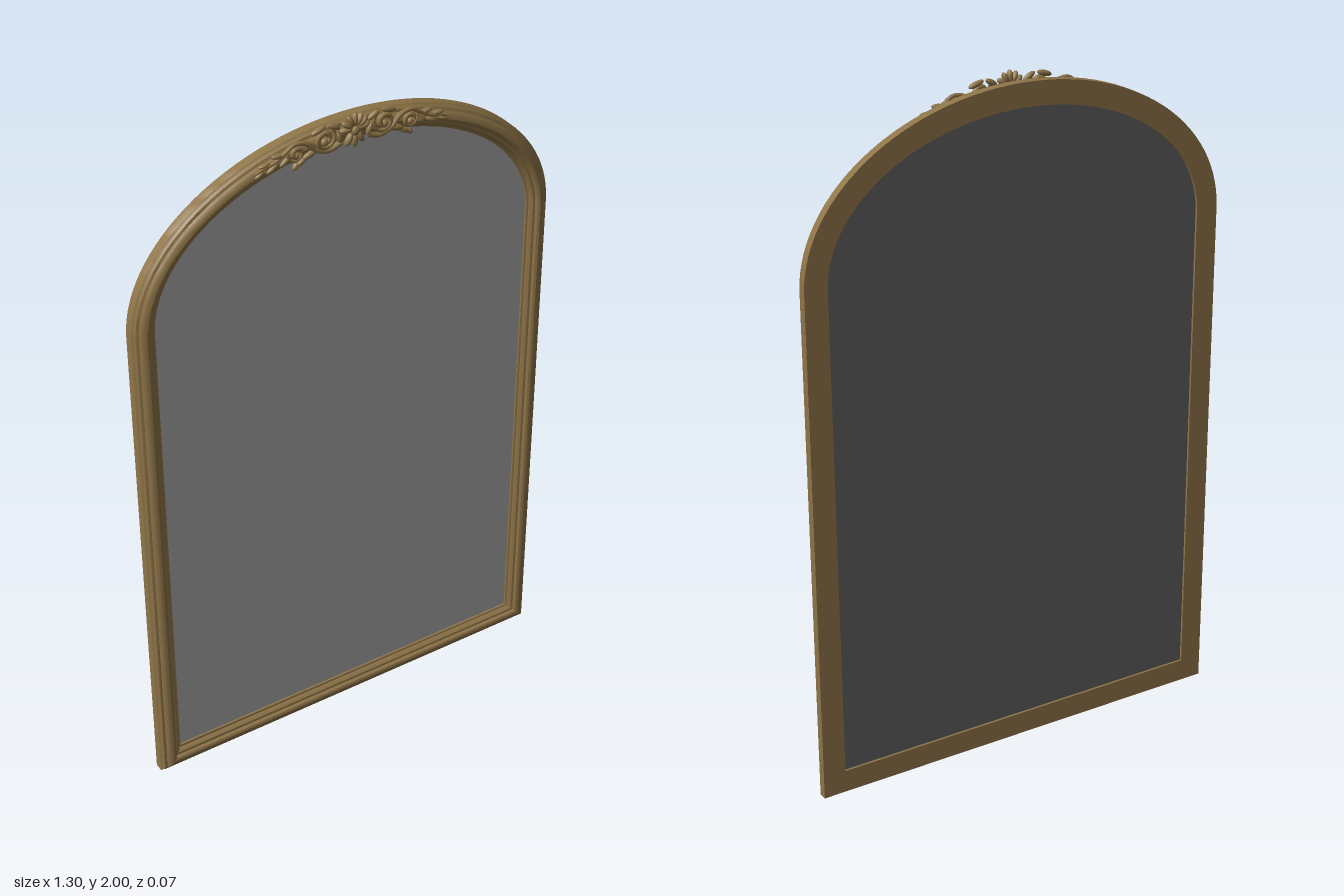
import * as THREE from 'three';
import { toCreasedNormals } from 'three/addons/utils/BufferGeometryUtils.js';

const HALF = 0.65, SPRING = 1.52, RISE = 0.458, ARC = 56;

const bronze = new THREE.MeshStandardMaterial({ color: 0x8f7548 });
bronze.name = 'aged bronze';
const glass = new THREE.MeshStandardMaterial({ color: 0xa0a0a0 });
glass.name = 'mirror grey';
const dark = new THREE.MeshStandardMaterial({ color: 0x606060 });
dark.name = 'backing grey';

function part(geometry, material, name) {
  const m = new THREE.Mesh(geometry, material);
  m.name = name;
  return m;
}

// Arched outline inset by w, clockwise from the bottom left corner
function outline(w) {
  const pts = [new THREE.Vector2(-HALF + w, w)];
  for (let i = 0; i <= ARC; i++) {
    const a = Math.PI * (1 - i / ARC);
    pts.push(new THREE.Vector2((HALF - w) * Math.cos(a), SPRING + (RISE - w) * Math.sin(a)));
  }
  pts.push(new THREE.Vector2(HALF - w, w));
  return pts;
}

// Moulding profile [inset, z] swept round the outline, mitred at the bottom
function frameGeometry() {
  const profile = [
    [0, -0.035], [0, -0.009], [0.005, -0.005], [0.008, 0.001], [0.016, 0.003],
    [0.02, 0.009], [0.028, 0.014], [0.036, 0.015], [0.043, 0.012], [0.047, 0.005],
    [0.054, 0.004], [0.059, 0], [0.062, -0.006], [0.068, -0.008], [0.068, -0.035],
  ];
  const rings = profile.map(([w]) => outline(w));
  const n = rings[0].length, m = profile.length;
  const pos = [], idx = [];
  for (let i = 0; i < n; i++)
    for (let j = 0; j < m; j++) pos.push(rings[j][i].x, rings[j][i].y, profile[j][1]);
  for (let i = 0; i < n; i++)
    for (let j = 0; j < m; j++) {
      const i2 = (i + 1) % n, j2 = (j + 1) % m;
      const a = i * m + j, b = i * m + j2, c = i2 * m + j2, d = i2 * m + j;
      idx.push(a, b, c, a, c, d);
    }
  const g = new THREE.BufferGeometry();
  g.setAttribute('position', new THREE.Float32BufferAttribute(pos, 3));
  g.setIndex(idx);
  return toCreasedNormals(g, 0.5);
}

// Tube whose radius runs from r0 to r1
function taperedTube(points, r0, r1, steps = 32) {
  const curve = new THREE.CatmullRomCurve3(points);
  const g = new THREE.TubeGeometry(curve, steps, 1, 8);
  const p = g.attributes.position, v = new THREE.Vector3();
  for (let i = 0; i < p.count; i++) {
    const t = Math.floor(i / 9) / steps, c = curve.getPointAt(t);
    v.fromBufferAttribute(p, i).sub(c).multiplyScalar(r0 + (r1 - r0) * t).add(c);
    p.setXYZ(i, v.x, v.y, v.z);
  }
  return g;
}

// Flattened oval bead or leaf lobe
function lobe(x, y, z, rx, ry, rz, turn, name) {
  const m = part(new THREE.SphereGeometry(1, 14, 10), bronze, name);
  m.position.set(x, y, z);
  m.scale.set(rx, ry, rz);
  m.rotation.z = turn;
  return m;
}

// Spiral scroll starting at angle a0 and winding inwards, then a bead at the eye
function scroll(s, x, y, z, radius, a0, turns, thick) {
  const g = new THREE.Group(), pts = [];
  g.name = 'scroll';
  for (let i = 0; i <= 18; i++) {
    const t = i / 18, a = a0 + t * turns * Math.PI * 2, r = radius * (1 - 0.75 * t);
    pts.push(new THREE.Vector3(s * (x + r * Math.cos(a)), y + r * Math.sin(a), z + 0.004 * t));
  }
  g.add(part(taperedTube(pts, thick * 0.6, thick), bronze, 'scrollStem'));
  const end = pts[pts.length - 1];
  g.add(lobe(end.x, end.y, end.z, thick * 1.3, thick * 1.3, thick, 0, 'scrollEye'));
  return g;
}

function crest() {
  const g = new THREE.Group();
  g.name = 'crestOrnament';
  // Central shell: a fan of petals above, drops below, and a boss
  for (let i = -3; i <= 3; i++) {
    const a = i * 0.5, r = 0.026;
    g.add(lobe(Math.sin(a) * r, 1.955 + Math.cos(a) * r, 0.022, 0.0085, 0.019, 0.011, -a, 'shellPetal'));
  }
  for (const i of [-1, 0, 1])
    g.add(lobe(i * 0.017, 1.922 + Math.abs(i) * 0.006, 0.021, 0.009, 0.02, 0.01, i * 0.5, 'shellDrop'));
  g.add(lobe(0, 1.95, 0.024, 0.014, 0.014, 0.011, 0, 'shellBoss'));

  for (const s of [1, -1]) {
    const side = new THREE.Group();
    side.name = s > 0 ? 'leftFoliage' : 'rightFoliage';
    // Large and small scrolls
    side.add(scroll(s, 0.088, 1.95, 0.019, 0.032, 2.4, 1.4, 0.0085));
    side.add(scroll(s, 0.172, 1.931, 0.016, 0.024, 0.3, -1.3, 0.007));
    // Stem joining the scrolls and trailing along the arch
    const stem = [[0.04, 1.925], [0.075, 1.913], [0.115, 1.925], [0.14, 1.95], [0.175, 1.957],
      [0.205, 1.94], [0.235, 1.922], [0.265, 1.914], [0.29, 1.905]];
    side.add(part(taperedTube(stem.map(([x, y], i) =>
      new THREE.Vector3(s * x, y, 0.019 - 0.0006 * i)), 0.0085, 0.004, 48), bronze, 'trailingStem'));
    // Leaves: x, y, z, length, width, tilt
    const leaves = [
      [0.058, 1.975, 0.019, 0.02, 0.008, 0.5], [0.045, 1.94, 0.021, 0.018, 0.008, 1.2],
      [0.105, 1.977, 0.018, 0.024, 0.008, -0.3], [0.13, 1.917, 0.017, 0.024, 0.009, -0.35],
      [0.155, 1.902, 0.015, 0.02, 0.008, -0.5], [0.172, 1.894, 0.014, 0.012, 0.007, -0.9],
      [0.202, 1.916, 0.014, 0.019, 0.008, -0.6], [0.222, 1.937, 0.014, 0.02, 0.007, 0.1],
      [0.24, 1.907, 0.014, 0.019, 0.007, -0.5], [0.262, 1.922, 0.013, 0.017, 0.006, -0.1],
      [0.277, 1.9, 0.013, 0.016, 0.006, -0.5],
    ];
    for (const [x, y, z, l, w, tilt] of leaves)
      side.add(lobe(s * x, y, z, l, w, 0.008, s * tilt, 'leaf'));
    g.add(side);
  }
  return g;
}

export function createModel() {
  const model = new THREE.Group();
  model.name = 'archedMirror';
  model.add(part(frameGeometry(), bronze, 'frame'));

  // Mirror pane and its backing, tucked into the frame
  const pane = new THREE.ShapeGeometry(new THREE.Shape(outline(0.064)));
  const front = part(pane, glass, 'mirrorPane');
  front.position.z = -0.014;
  const back = part(pane.clone().rotateY(Math.PI), dark, 'backing');
  back.position.z = -0.028;
  model.add(front, back, crest());
  return model;
}
